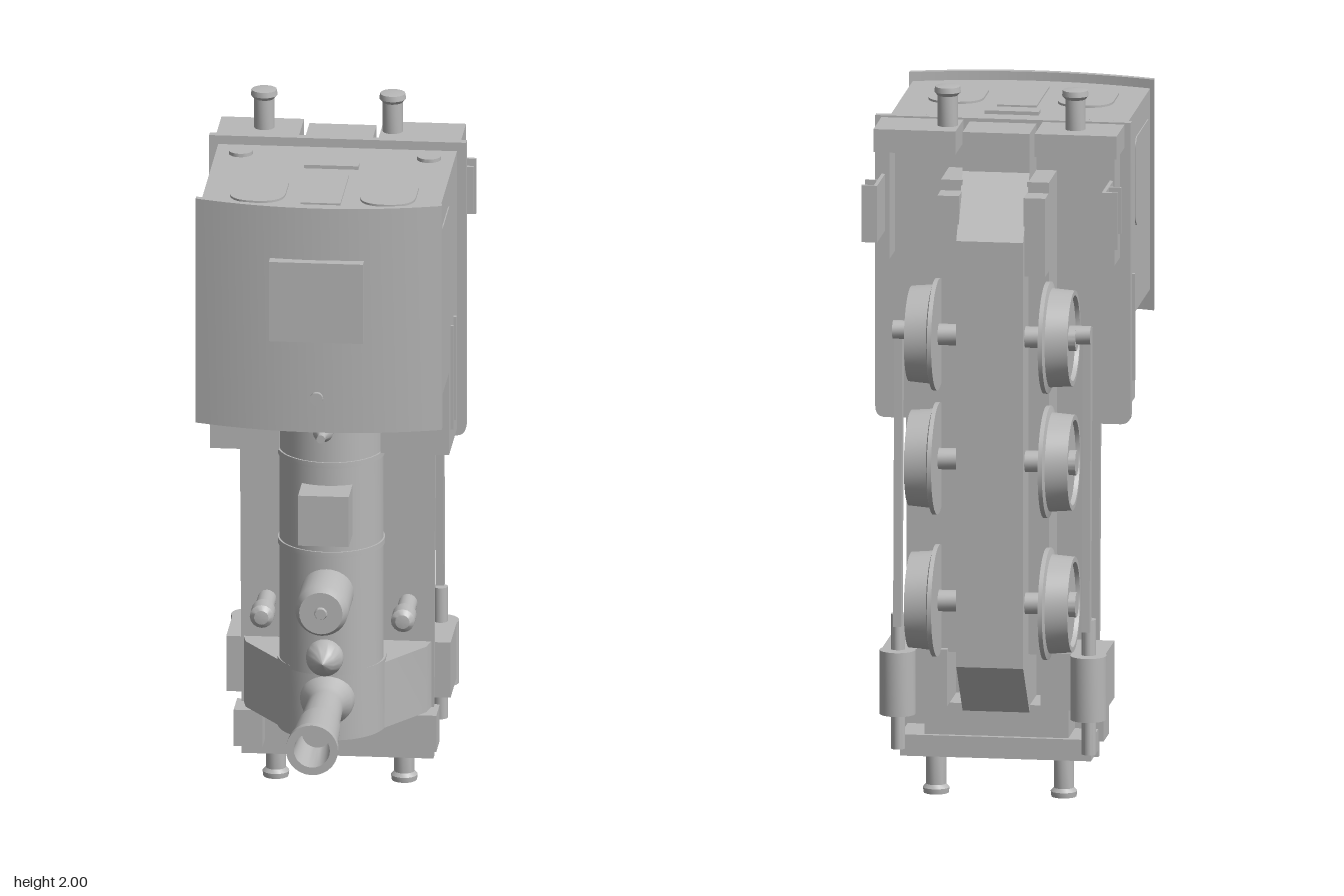
import * as THREE from 'three';
import { toCreasedNormals } from 'three/addons/utils/BufferGeometryUtils.js';

export function createModel() {
  const root = new THREE.Group();
  const grey = new THREE.MeshStandardMaterial({ color: 0xb8b8b8 });
  grey.name = 'plain grey';

  const add = (name, geo) => {
    const m = new THREE.Mesh(toCreasedNormals(geo, 0.6), grey);
    m.name = name;
    root.add(m);
    return m;
  };
  // Box from its limits
  const box = (name, x0, x1, y0, y1, z0, z1) =>
    add(name, new THREE.BoxGeometry(x1 - x0, y1 - y0, z1 - z0)
      .translate((x0 + x1) / 2, (y0 + y1) / 2, (z0 + z1) / 2));
  // Same box on both sides
  const boxes = (name, x0, x1, ...r) => {
    box(name + 'Left', x0, x1, ...r);
    box(name + 'Right', -x1, -x0, ...r);
  };
  const polygon = (pts) => new THREE.Shape(pts.map(([x, y]) => new THREE.Vector2(x, y)));
  const extrude = (shape, depth) =>
    new THREE.ExtrudeGeometry(shape, { depth, bevelEnabled: false, curveSegments: 10 });
  // Outline in x, z pushed along y
  const upright = (name, pts, y0, y1) =>
    add(name, extrude(polygon(pts.map(([x, z]) => [x, -z])), y1 - y0)
      .rotateX(-Math.PI / 2).translate(0, y0, 0));
  // Outline in z, y pushed along x, centred
  const sideways = (name, pts, x0, x1) =>
    add(name, extrude(polygon(pts.map(([z, y]) => [-z, y])), x1 - x0)
      .rotateY(Math.PI / 2).translate(x0, 0, 0));
  // Turned part: [radius, distance] pairs along an axis
  const turned = (name, axis, pts, x, y, z, seg = 28) => {
    const g = new THREE.LatheGeometry(pts.map(([r, d]) => new THREE.Vector2(r, d)), seg);
    if (axis === 'z') g.rotateX(Math.PI / 2);
    if (axis === '-z') g.rotateX(-Math.PI / 2);
    if (axis === '-y') g.rotateX(Math.PI);
    if (axis === 'x') g.rotateZ(-Math.PI / 2);
    if (axis === '-x') g.rotateZ(Math.PI / 2);
    return add(name, g.translate(x, y, z));
  };
  const rod = (r, a, b) => [[0, a], [r, a], [r, b], [0, b]];
  const arc = (w, edge, crown) => Array.from({ length: 17 }, (_, i) => {
    const t = i / 8 - 1;
    return [w * t, crown - (crown - edge) * t * t];
  });

  // Cab with arched roof
  upright('cab', [[-0.33, -0.18], ...arc(0.33, 0.355, 0.408), [0.33, -0.18]], 1.3, 1.865);
  upright('roof', [...arc(0.34, 0.373, 0.428), ...arc(0.34, 0.355, 0.408).reverse()], 1.24, 1.89);
  box('roofHatch', -0.13, 0.13, 1.51, 1.74, 0.4, 0.455);
  turned('roofKnob', 'z', rod(0.018, 0.41, 0.44), 0, 1.34, 0);
  boxes('sideTank', 0.14, 0.33, 1.06, 1.3, -0.18, 0.055);

  // Cab windows and fittings
  const oval = (w, h, r) => {
    const s = new THREE.Shape();
    s.moveTo(-w + r, -h);
    s.lineTo(w - r, -h).quadraticCurveTo(w, -h, w, -h + r);
    s.lineTo(w, h - r).quadraticCurveTo(w, h, w - r, h);
    s.lineTo(-w + r, h).quadraticCurveTo(-w, h, -w, h - r);
    s.lineTo(-w, -h + r).quadraticCurveTo(-w, -h, -w + r, -h);
    return s;
  };
  for (const s of [-1, 1]) {
    for (const [side, y] of [['rear', 1.863], ['front', 1.294]])
      add(side + 'Window', extrude(oval(0.077, 0.118, 0.075), 0.008)
        .rotateX(-Math.PI / 2).translate(s * 0.18, y, 0.203));
    add('sideWindow', extrude(oval(0.137, 0.125, 0.03), 0.006)
      .rotateY(Math.PI / 2).translate(s * 0.33 - 0.003, 1.665, 0.195));
    turned('rearCap', 'y', rod(0.033, 1.86, 1.875), s * 0.26, 0, -0.1);
    box('handrail', s * 0.333 - 0.005, s * 0.333 + 0.005, 1.12, 1.42, 0.0, 0.01);
    box('doorRail', s * 0.333 - 0.005, s * 0.333 + 0.005, 1.12, 1.42, -0.08, -0.07);
  }
  box('rearPanel', -0.055, 0.055, 1.86, 1.87, 0.07, 0.32);
  box('rearLatch', -0.075, 0.075, 1.86, 1.875, -0.03, 0.01);

  // Footplate, wide behind and narrow in front
  const plate = new THREE.Shape();
  plate.moveTo(-0.265, 0.1);
  plate.lineTo(0.265, 0.1).lineTo(0.27, 1.04).lineTo(0.325, 1.04).quadraticCurveTo(0.355, 1.04, 0.355, 1.07);
  plate.lineTo(0.355, 1.89).lineTo(-0.355, 1.89).lineTo(-0.355, 1.07);
  plate.quadraticCurveTo(-0.355, 1.04, -0.325, 1.04).lineTo(-0.27, 1.04);
  add('footplate', extrude(plate, 0.024).translate(0, 0, -0.2));

  // Boiler, smokebox, saddle and door
  turned('boiler', 'y', rod(0.143, 0.44, 1.31), 0, 0, 0, 40);
  turned('smokebox', 'y', rod(0.15, 0.25, 0.45), 0, 0, -0.01, 40);
  for (const y of [0.79, 1.05]) turned('boilerBand', 'y', rod(0.148, y - 0.008, y + 0.008), 0, 0, 0, 40);
  upright('saddle', [[-0.26, -0.18], [0.26, -0.18], [0.25, -0.13], [0.145, 0.02], [-0.145, 0.02], [-0.25, -0.13]], 0.25, 0.44);
  turned('smokeboxDoor', '-y', [[0.115, -0.255], [0.11, -0.24], [0.07, -0.23], [0, -0.225]], 0, 0, -0.01, 32);
  turned('doorHandle', '-y', rod(0.02, -0.24, -0.212), 0, 0, -0.01);
  box('doorBar', -0.06, 0.06, 0.218, 0.228, -0.015, -0.005);

  // Chimney, domes, sandbox and whistle
  turned('chimney', 'z', [[0.078, 0.11], [0.07, 0.145], [0.052, 0.17], [0.05, 0.2], [0.056, 0.37], [0.06, 0.375],
    [0.066, 0.54], [0.072, 0.545], [0.072, 0.57], [0.05, 0.57], [0.042, 0.42], [0, 0.42]], 0, 0.365, 0);
  turned('safetyValve', 'z', [[0.025, 0.12], [0.022, 0.18], [0.052, 0.195], [0.05, 0.212], [0.03, 0.24], [0, 0.262]], 0, 0.51, 0);
  turned('steamDome', 'z', [[0.073, 0.1], [0.073, 0.285], [0.06, 0.31], [0.018, 0.31], [0.015, 0.318], [0, 0.318]], 0, 0.675, 0);
  box('sandbox', -0.07, 0.07, 0.845, 0.99, 0.09, 0.235);
  turned('whistle', 'z', [[0.028, 0.12], [0.028, 0.165], [0.014, 0.17], [0.028, 0.2], [0.028, 0.25], [0.012, 0.29], [0.012, 0.31], [0, 0.31]], 0, 1.18, 0, 16);

  // Underframe with sloping ends
  sideways('mainFrame', [[-0.18, 0.25], [-0.335, 0.25], [-0.46, 0.4], [-0.46, 1.6], [-0.335, 1.77], [-0.335, 1.88], [-0.18, 1.88]], -0.093, 0.093);
  boxes('frameRail', 0.09, 0.15, 0.42, 1.75, -0.36, -0.19);
  boxes('rearFrameEnd', 0.09, 0.15, 1.5, 1.72, -0.43, -0.2);
  boxes('rearBeam', 0.11, 0.338, 1.82, 1.885, -0.355, -0.2);
  boxes('rearSide', 0.3, 0.325, 1.51, 1.83, -0.31, -0.2);
  boxes('stepPlate', 0.312, 0.322, 1.59, 1.75, -0.465, -0.3);
  boxes('lowerStep', 0.312, 0.356, 1.59, 1.75, -0.465, -0.455);
  boxes('upperStep', 0.312, 0.356, 1.62, 1.75, -0.395, -0.385);

  // Front beam
  box('frontBeam', -0.265, 0.265, 0.12, 0.18, -0.345, -0.2);
  box('frontBlock', -0.2, 0.2, 0.18, 0.27, -0.33, -0.2);
  boxes('frontBracket', 0.2, 0.28, 0.145, 0.25, -0.2, -0.1);

  // Buffers at both ends
  const buffer = [[0.028, 0], [0.028, 0.085], [0.037, 0.095], [0.035, 0.11], [0, 0.115]];
  for (const x of [-0.212, 0.143]) turned('rearBuffer', 'y', buffer, x, 1.885, -0.275, 16);
  for (const x of [-0.18, 0.175]) turned('frontBuffer', '-y', buffer, x, 0.115, -0.275, 16);

  // Wheels, running gear and cylinders on each side
  const wheel = [[0, 0.148], [0.155, 0.148], [0.155, 0.16], [0.137, 0.165], [0.132, 0.227], [0.118, 0.227], [0.115, 0.215],
    [0.035, 0.215], [0.035, 0.235], [0, 0.235]];
  for (const s of [-1, 1]) {
    const axis = s > 0 ? 'x' : '-x';
    for (const y of [0.575, 0.975, 1.325]) {
      turned('wheel', axis, wheel, 0, y, -0.41, 40);
      turned('axle', axis, rod(0.03, 0.08, 0.16), 0, y, -0.41, 16);
    }
    turned('crankPin', axis, rod(0.026, 0.22, 0.275), 0, 1.335, -0.41, 16);
    const bar = new THREE.BoxGeometry(0.022, 0.85, 0.036);
    add('connectingRod', bar.rotateX(0.029).translate(s * 0.262, 0.925, -0.398));
    turned('pistonRod', 'y', rod(0.02, 0.15, 0.53), s * 0.265, 0, -0.387, 16);
    turned('cylinder', 'y', rod(0.05, 0.25, 0.43), s * 0.265, 0, -0.395);
    box('cylinderBlock', s * 0.22 - 0.09, s * 0.22 + 0.09, 0.27, 0.43, -0.38, -0.2);
    // Lubricator pot on the footplate
    turned('sidePot', 'z', [[0.026, -0.18], [0.026, -0.08], [0.033, -0.075], [0.033, -0.02], [0.02, -0.008], [0, -0.005]], s * 0.195, 0.55, 0, 16);
  }
  return root;
}
